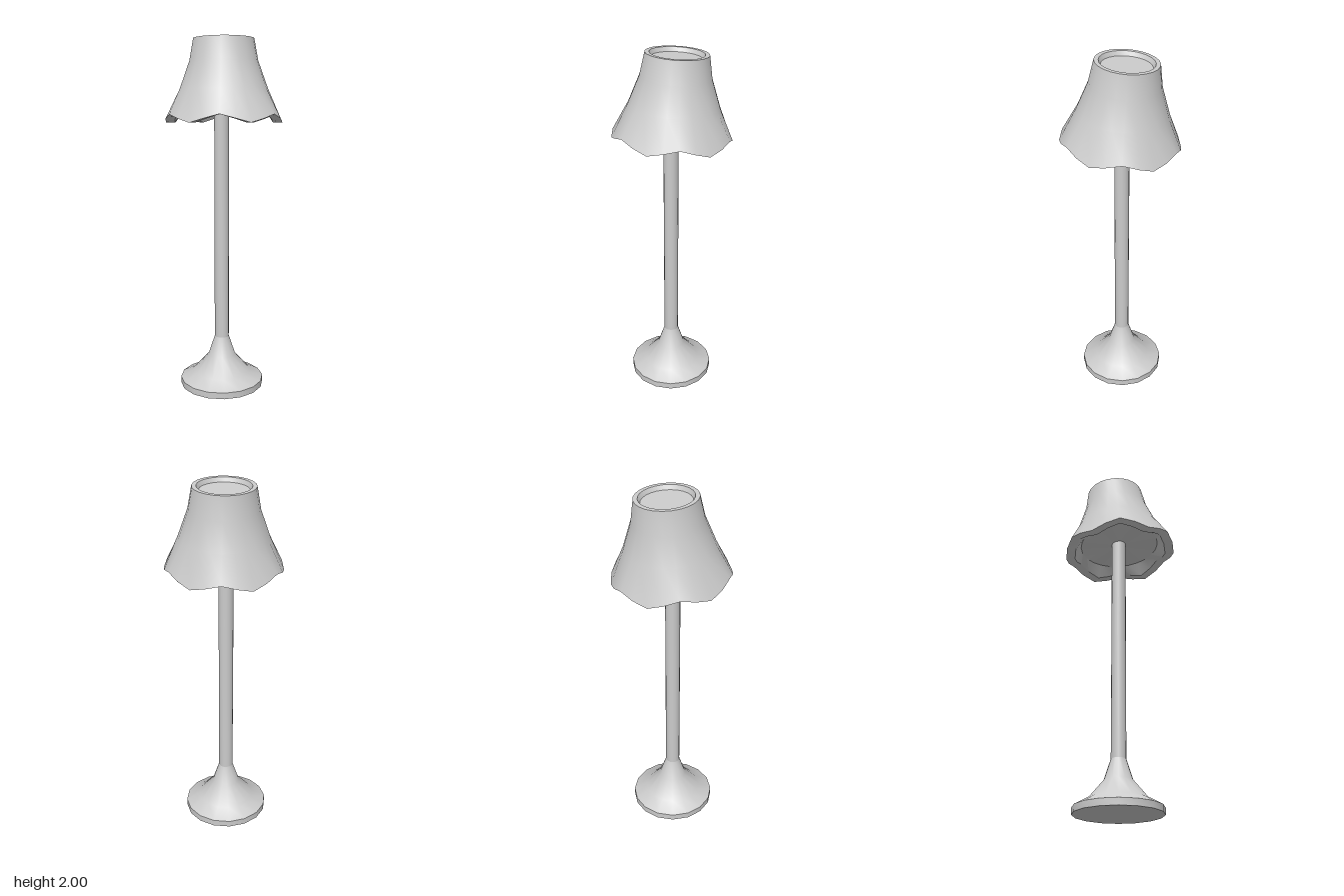
import * as THREE from 'three';
import { toCreasedNormals } from 'three/addons/utils/BufferGeometryUtils.js';

const material = new THREE.MeshStandardMaterial({ color: 0xcccccc });

function turned(name, profile, sides, reshape) {
  const geometry = new THREE.LatheGeometry(profile.map(([r, y]) => new THREE.Vector2(r, y)), sides);
  if (reshape) reshape(geometry.attributes.position);
  const mesh = new THREE.Mesh(toCreasedNormals(geometry, 0.7), material);
  mesh.name = name;
  return mesh;
}

// Six scallops along the lower rim of the shade, lowest at the front
function scallop(position) {
  for (let i = 0; i < position.count; i++) {
    const x = position.getX(i), y = position.getY(i), z = position.getZ(i);
    if (Math.abs(y) < 0.01) position.setY(i, y - 0.022 * Math.cos(6 * Math.atan2(x, z)));
  }
}

export function createModel() {
  const lamp = new THREE.Group();
  lamp.name = 'floorLamp';

  // Flared foot and pole share one axis
  const stand = new THREE.Group();
  stand.name = 'stand';
  stand.position.set(-0.01, 0, -0.007);
  stand.add(turned('base', [
    [0, 0], [0.241, 0], [0.241, 0.037], [0.162, 0.08], [0.078, 0.178], [0.041, 0.29],
  ], 16));
  stand.add(turned('pole', [[0.041, 0.29], [0.041, 1.63]], 16));
  lamp.add(stand);

  // Thick, slightly tilted shade, closed by a disc below and a recessed disc on top
  const shade = turned('shade', [
    [0, 0.05], [0.23, 0.05],
    [0.27, 0], [0.322, 0],
    [0.243, 0.16], [0.189, 0.31], [0.167, 0.431],
    [0.144, 0.431], [0.132, 0.408], [0, 0.408],
  ], 24, scallop);
  shade.position.set(0, 1.557, 0);
  shade.rotation.set(-0.075, 0, -0.033);
  lamp.add(shade);

  return lamp;
}
